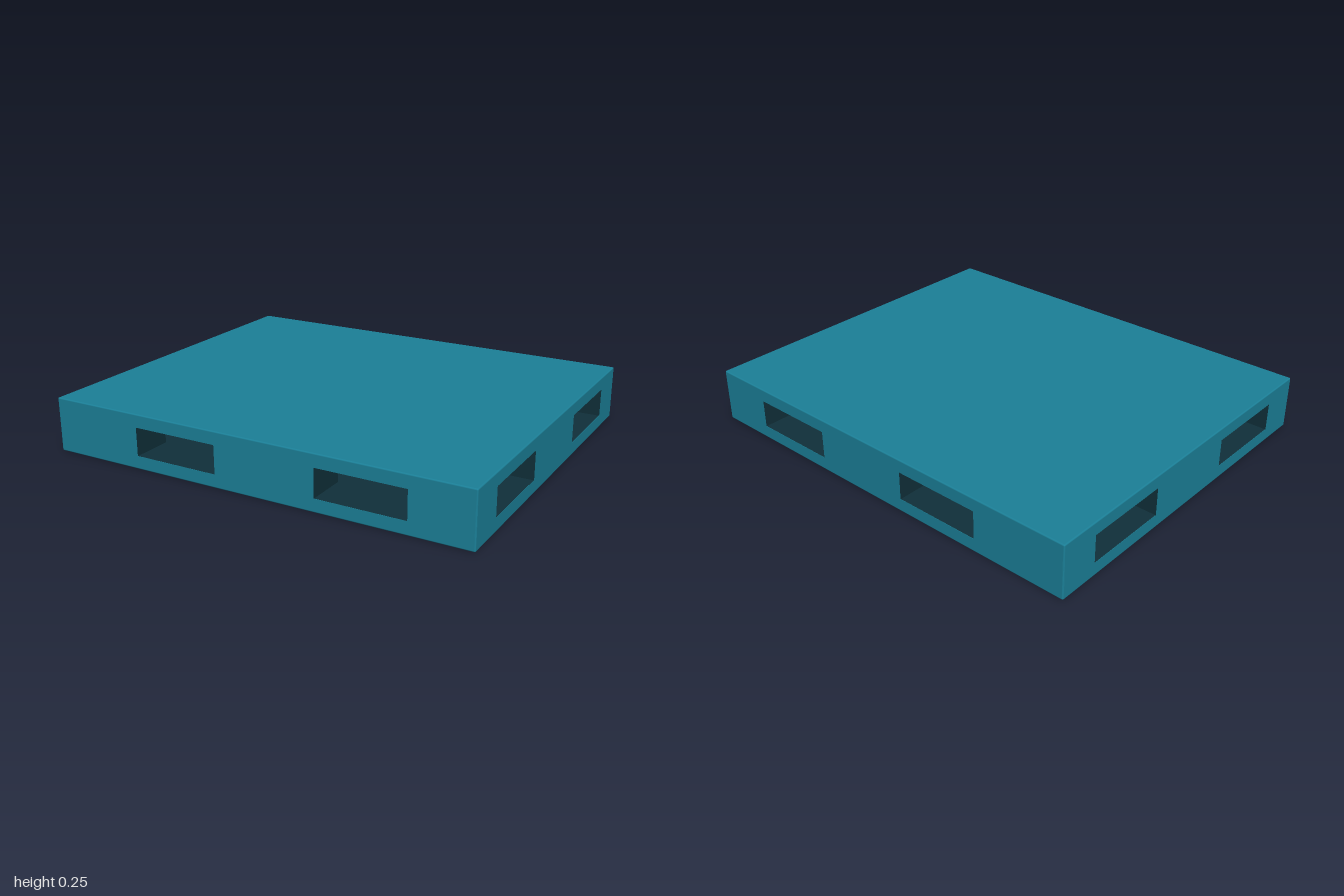
import * as THREE from 'three';
import { RoundedBoxGeometry } from 'three/addons/geometries/RoundedBoxGeometry.js';

const W = 1, D = 0.83, H = 0.25;      // half width, half depth, height
const SKIN = 0.06, R = 0.006;         // deck thickness, edge rounding
const XS = [[-W, -0.56], [-0.155, 0.32], [0.725, W]];   // block spans across
const ZS = [[-D, -0.642], [-0.238, 0.238], [0.642, D]]; // block spans in depth

// Deck slab: rounded outer edge, flat and square on its inner face at y = 0
function slabGeometry() {
  const geo = new RoundedBoxGeometry(2 * W, 2 * SKIN, 2 * D, 3, R);
  const pos = geo.attributes.position;
  for (let i = 0; i < pos.count; i++) pos.setY(i, Math.max(0, pos.getY(i)));
  return geo;
}

// Spacer block between the decks; only corners on the outer outline are rounded
function blockGeometry([x0, x1], [z0, z1]) {
  const corners = [[x0, z0, -1, -1], [x1, z0, 1, -1], [x1, z1, 1, 1], [x0, z1, -1, 1]];
  const points = [];
  corners.forEach(([x, z, sx, sz], k) => {
    if (Math.abs(x) !== W || Math.abs(z) !== D) {
      points.push(new THREE.Vector2(x, z));
      return;
    }
    for (let i = 0; i <= 3; i++) {
      const a = Math.PI + (k + i / 3) * Math.PI / 2;
      points.push(new THREE.Vector2(x - sx * R + R * Math.cos(a), z - sz * R + R * Math.sin(a)));
    }
  });
  const geo = new THREE.ExtrudeGeometry(new THREE.Shape(points), {
    depth: H - 2 * SKIN, bevelEnabled: false,
  }).rotateX(-Math.PI / 2);

  // Group 0: faces on the outer outline, group 1: faces inside the channels
  const pos = geo.attributes.position;
  geo.clearGroups();
  for (let i = 0; i < pos.count; i += 3) {
    const onOutline = [0, 1, 2].every(k => Math.abs(pos.getX(i + k)) >= W - R - 1e-5)
      || [0, 1, 2].every(k => Math.abs(pos.getZ(i + k)) >= D - R - 1e-5);
    geo.addGroup(i, 3, onOutline ? 0 : 1);
  }
  return geo;
}

export function createModel() {
  const model = new THREE.Group();
  model.name = 'pallet';
  const teal = new THREE.MeshStandardMaterial({ color: 0x1b8098 });
  teal.name = 'teal plastic';
  const dark = new THREE.MeshStandardMaterial({ color: 0x10303a });
  dark.name = 'dark channel';

  const add = (name, geo, materials, y) => {
    const mesh = new THREE.Mesh(geo, materials);
    mesh.name = name;
    mesh.position.y = y;
    model.add(mesh);
    return mesh;
  };

  // Top and bottom decks, dark on the inner face
  const deck = [teal, teal, teal, dark, teal, teal];
  add('topDeck', slabGeometry(), deck, H - SKIN);
  add('bottomDeck', slabGeometry(), deck, SKIN).rotation.x = Math.PI;

  // Three by three blocks, leaving fork channels in both directions
  const columns = ['right', 'middle', 'left'], rows = ['Back', 'Centre', 'Front'];
  XS.forEach((xs, i) => ZS.forEach((zs, j) => {
    add(`${columns[i]}${rows[j]}Block`, blockGeometry(xs, zs), [teal, dark], SKIN);
  }));
  return model;
}
